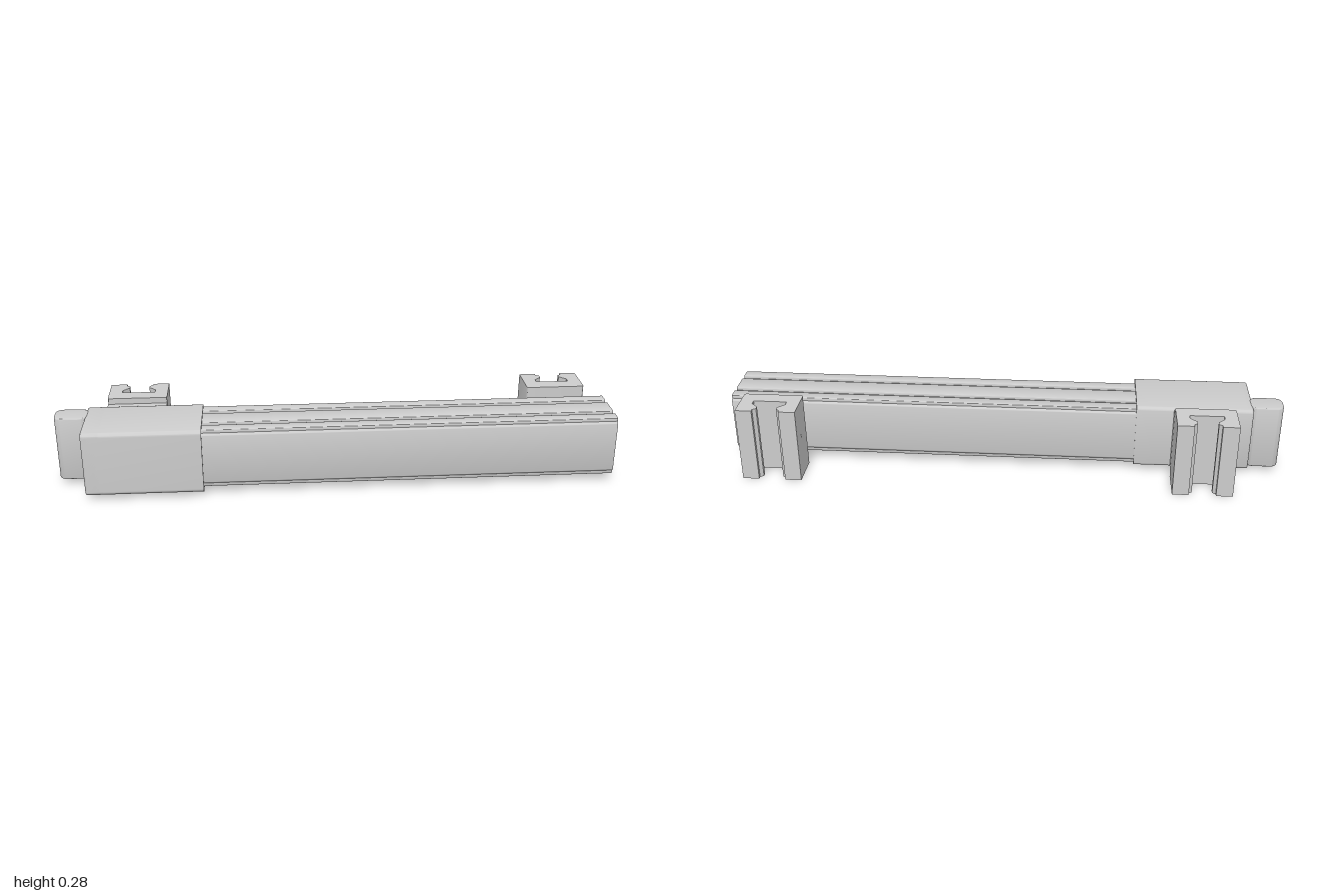
import * as THREE from 'three';
import { toCreasedNormals } from 'three/addons/utils/BufferGeometryUtils.js';

const material = new THREE.MeshStandardMaterial({ color: 0xcccccc });

function part(name, geometry) {
  const mesh = new THREE.Mesh(geometry, material);
  mesh.name = name;
  return mesh;
}

// Rounded rectangle between two corners
function roundedRect(x0, y0, x1, y1, r, Type = THREE.Shape) {
  const s = new Type();
  s.absarc(x1 - r, y1 - r, r, 0, Math.PI / 2);
  s.absarc(x0 + r, y1 - r, r, Math.PI / 2, Math.PI);
  s.absarc(x0 + r, y0 + r, r, Math.PI, Math.PI * 1.5);
  s.absarc(x1 - r, y0 + r, r, Math.PI * 1.5, Math.PI * 2);
  s.closePath();
  return s;
}

// Extrude a profile; bevel is added inside the given depth
function extrude(shape, depth, bevel = 0) {
  const g = new THREE.ExtrudeGeometry(shape, {
    depth: depth - 2 * bevel, curveSegments: 6, bevelEnabled: bevel > 0,
    bevelSize: bevel, bevelThickness: bevel, bevelSegments: 3,
  });
  g.translate(0, 0, bevel);
  return toCreasedNormals(g, 0.6);
}

// Profile in (-z, y), swept along x
const alongX = (shape, x0, x1, bevel) =>
  extrude(shape, x1 - x0, bevel).rotateY(Math.PI / 2).translate(x0, 0, 0);

// Profile in (x, -z), swept along y
const alongY = (shape, y0, y1, bevel) =>
  extrude(shape, y1 - y0, bevel).rotateX(-Math.PI / 2).translate(0, y0, 0);

// Clamp block with an undercut slot open to the back
function bracketShape(cx) {
  const w = 0.107, front = 0.068, back = 0.2, r = 0.008;
  const slot = [[0.048, back], [0.048, 0.188], [0.036, 0.18], [0.036, 0.165], [0.06, 0.142], [0.06, 0.122]];
  const s = new THREE.Shape();
  s.moveTo(cx - w, back);
  s.lineTo(cx - w, front + r);
  s.quadraticCurveTo(cx - w, front, cx - w + r, front);
  s.lineTo(cx + w - r, front);
  s.quadraticCurveTo(cx + w, front, cx + w, front + r);
  s.lineTo(cx + w, back);
  slot.forEach(([x, d]) => s.lineTo(cx + x, d));
  [...slot].reverse().forEach(([x, d]) => s.lineTo(cx - x, d));
  s.closePath();
  return s;
}

export function createModel() {
  const model = new THREE.Group();
  model.name = 'slideRailAssembly';

  // Long beam with three raised strips above and below
  const beam = new THREE.Group();
  beam.name = 'beam';
  beam.add(part('beamCore', alongX(roundedRect(-0.176, 0.041, 0.041, 0.241, 0.015), -0.85, 1)));
  const strips = [[-0.169, -0.128], [-0.107, -0.028], [-0.007, 0.034]];
  for (const [a, b] of strips) {
    for (const y of [0.03, 0.228]) {
      beam.add(part('beamStrip', alongX(roundedRect(a, y, b, y + 0.024, 0.004), -0.85, 1)));
    }
  }
  model.add(beam);

  // Housing: hollow sleeve around the beam, closed by a softened end cap
  const housing = new THREE.Group();
  housing.name = 'housing';
  const sleeve = roundedRect(-0.2, 0.02, 0.043, 0.261, 0.016);
  sleeve.holes.push(roundedRect(-0.19, 0.029, 0.036, 0.253, 0.008, THREE.Path));
  housing.add(part('sleeve', alongX(sleeve, -0.87, -0.475)));
  housing.add(part('endCap', alongX(roundedRect(-0.192, 0.028, 0.035, 0.253, 0.008), -0.89, -0.82, 0.008)));
  model.add(housing);

  // Upright end knob, rounded in plan
  model.add(part('endKnob', alongY(roundedRect(-0.996, -0.062, -0.886, 0.016, 0.024), 0.022, 0.261, 0.004)));

  // Two clamp brackets behind the beam
  for (const [name, x] of [['fixedBracket', -0.715], ['pivotBracket', 0.832]]) {
    model.add(part(name, alongY(bracketShape(x), 0, 0.277)));
  }

  // Mounting plate of the fixed bracket
  const plate = new THREE.BoxGeometry(0.214, 0.23, 0.032);
  plate.translate(-0.715, 0.14, -0.056);
  model.add(part('mountingPlate', plate));

  // Flanged pivot pin of the other bracket
  const pinProfile = [[0, 0], [0.018, 0], [0.018, 0.018], [0.013, 0.02], [0.013, 0.028], [0.018, 0.03], [0.018, 0.04], [0, 0.04]]
    .map(([r, h]) => new THREE.Vector2(r, h));
  const pin = toCreasedNormals(new THREE.LatheGeometry(pinProfile, 24), 0.6);
  pin.rotateX(-Math.PI / 2).translate(0.832, 0.139, -0.034);
  model.add(part('pivotPin', pin));

  return model;
}
